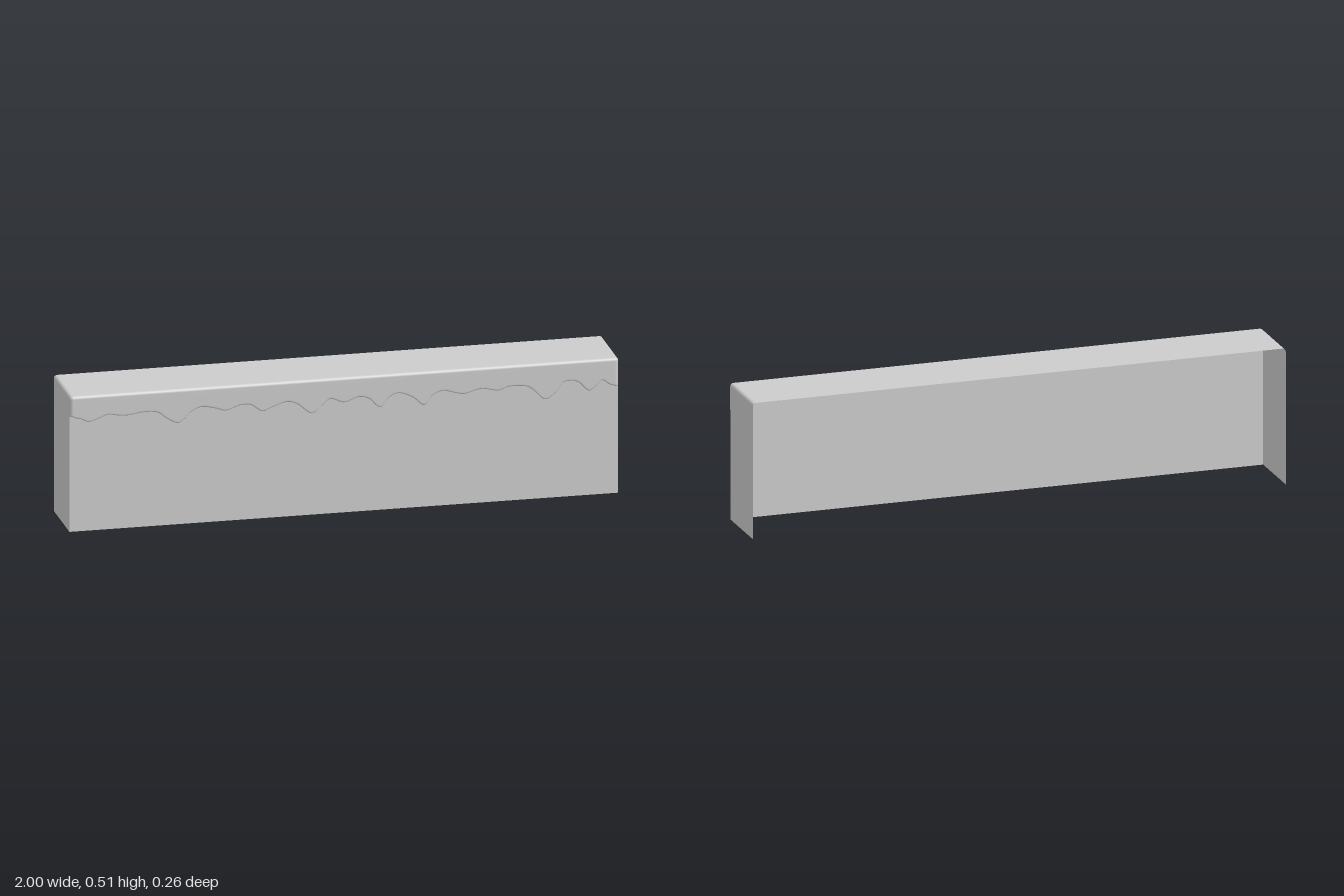
import * as THREE from 'three';

const TOP = 0.507, BACK = -0.13, WALL = 0.118, R = 0.012, LIP = 0.006;

// Lower edge of the dripping cover: x, y pairs
const DRIPS = [
  -1, .43, -.96, .42, -.93, .408, -.89, .42, -.86, .43, -.8, .422, -.73, .43, -.68, .425,
  -.65, .402, -.61, .381, -.585, .393, -.56, .418, -.52, .434, -.47, .425, -.43, .414, -.38, .43,
  -.34, .428, -.3, .402, -.26, .415, -.21, .43, -.17, .418, -.12, .381, -.08, .408, -.05, .43,
  0, .413, .05, .429, .09, .42, .13, .385, .16, .418, .2, .433, .25, .413, .29, .382,
  .32, .415, .36, .43, .4, .42, .44, .413, .5, .427, .56, .416, .6, .428, .66, .425,
  .69, .408, .73, .371, .77, .393, .8, .43, .85, .428, .89, .392, .92, .41, .94, .427,
  .97, .408, 1, .402,
];

// Stations along x: inset rounds the two ends, y is the drip height
function stations() {
  const points = [];
  for (let i = 0; i < DRIPS.length; i += 2) points.push(new THREE.Vector2(DRIPS[i], DRIPS[i + 1]));
  const inner = new THREE.SplineCurve(points).getPoints(360)
    .filter((p) => Math.abs(p.x) < 1 - R)
    .map((p) => ({ x: p.x, y: p.y, inset: 0 }));
  const end = (side, y) => Array.from({ length: 7 }, (_, k) => {
    const a = (k / 6) * Math.PI / 2;
    return { x: side * (1 - R + R * Math.sin(a)), y, inset: R * (1 - Math.cos(a)) };
  });
  return [...end(-1, DRIPS[1]).reverse(), ...inner, ...end(1, DRIPS[DRIPS.length - 1])];
}

// Cross-section from the back edge, over the top, down the front and under the lip
function section({ y, inset }) {
  const top = TOP - inset, depth = R - inset, p = [[BACK, top], [WALL - 0.01, top]];
  for (let k = 0; k <= 6; k++) {
    const a = (k / 6) * Math.PI / 2;
    p.push([WALL + depth * Math.sin(a), top - depth * (1 - Math.cos(a))]);
  }
  p.push([WALL + depth, y + LIP + 0.008]);
  for (let k = 0; k <= 4; k++) {
    const a = (k / 4) * Math.PI / 2;
    p.push([WALL + depth * (0.5 + 0.5 * Math.cos(a)), y + LIP * (1 - Math.sin(a))]);
  }
  p.push([WALL, y]);
  return p;
}

function coverGeometry() {
  const position = [], index = [], rows = stations();
  let n = 0;
  rows.forEach((s, i) => {
    const profile = section(s);
    n = profile.length;
    for (const [z, y] of profile) position.push(s.x, y, z);
    if (i === 0) return;
    for (let j = 0; j < n - 1; j++) {
      const a = (i - 1) * n + j, b = a + n;
      index.push(a, a + 1, b, b, a + 1, b + 1);
    }
  });
  const g = new THREE.BufferGeometry();
  g.setAttribute('position', new THREE.Float32BufferAttribute(position, 3));
  g.setIndex(index);
  g.computeVertexNormals();
  return g;
}

export function createModel() {
  const group = new THREE.Group();
  const material = new THREE.MeshStandardMaterial({ color: 0xcccccc, side: THREE.DoubleSide });
  const add = (name, geometry) => {
    const mesh = new THREE.Mesh(geometry, material);
    mesh.name = name;
    group.add(mesh);
    return mesh;
  };

  // Rounded top with a wavy dripping front lip
  add('drippingCover', coverGeometry());

  // Thin walls, open at the back and underneath
  const height = TOP - R;
  add('frontWall', new THREE.PlaneGeometry(2, height)).position.set(0, height / 2, WALL);
  for (const [name, side] of [['leftWall', 1], ['rightWall', -1]]) {
    const wall = add(name, new THREE.PlaneGeometry(WALL - BACK, height));
    wall.position.set(side, height / 2, (WALL + BACK) / 2);
    wall.rotation.y = side * Math.PI / 2;
  }
  return group;
}
